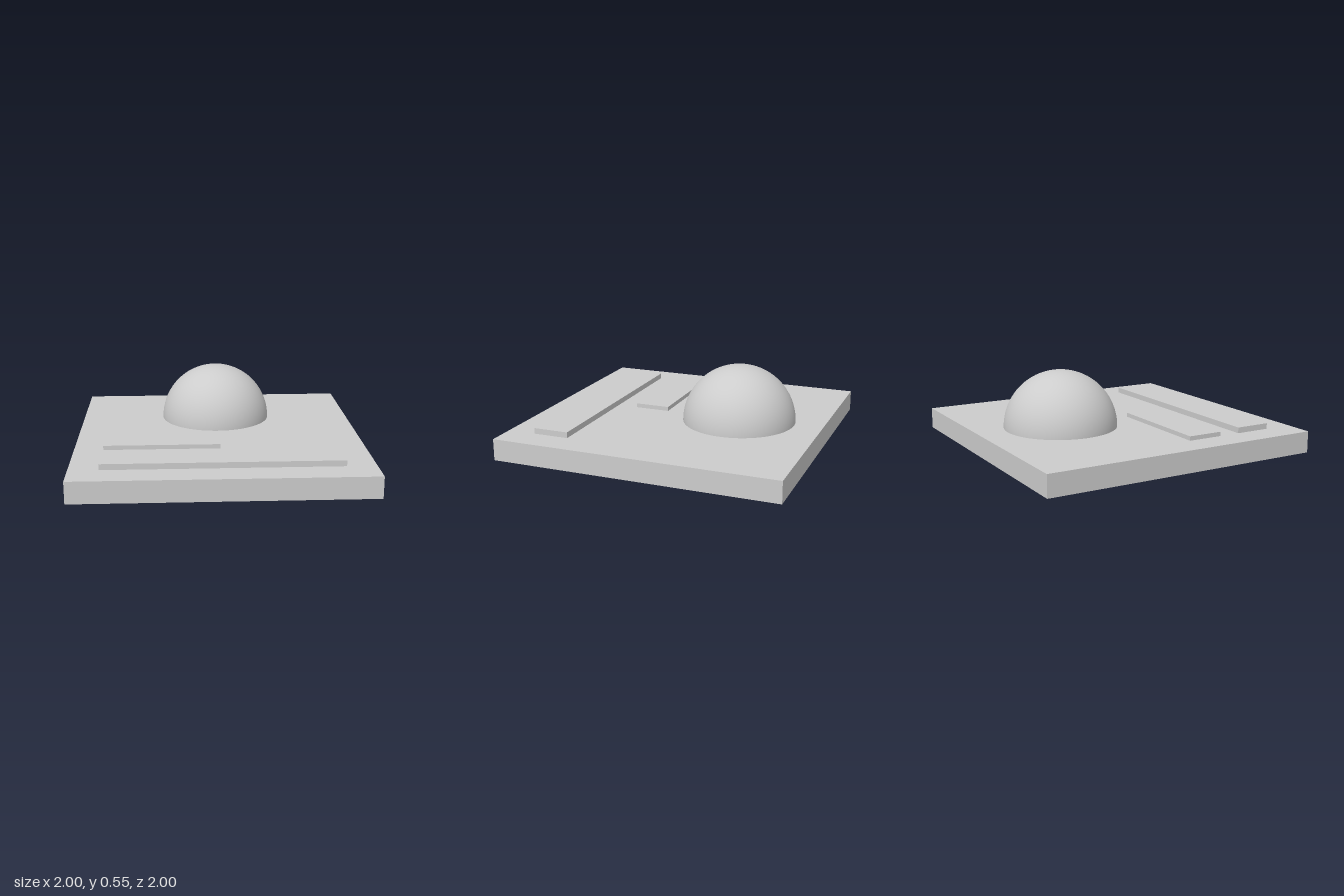
import * as THREE from 'three';

export function createModel() {
  const model = new THREE.Group();
  const grey = new THREE.MeshStandardMaterial({ color: 0xcccccc });
  grey.name = 'light grey';

  const slabTop = 0.15;

  function add(name, geometry, x, y, z) {
    const mesh = new THREE.Mesh(geometry, grey);
    mesh.name = name;
    mesh.position.set(x, y, z);
    model.add(mesh);
  }

  // A flat block resting at height y
  function addBlock(name, width, height, depth, x, y, z) {
    add(name, new THREE.BoxGeometry(width, height, depth), x, y + height / 2, z);
  }

  // Square base slab
  addBlock('baseSlab', 2, slabTop, 2, 0, 0, 0);

  // Hemispherical dome towards the back
  add('dome', new THREE.SphereGeometry(0.4, 64, 24, 0, Math.PI * 2, 0, Math.PI / 2), 0, slabTop, -0.4);

  // Raised bars towards the front
  addBlock('shortBar', 0.8, 0.03, 0.25, -0.4, slabTop, 0.275);
  addBlock('longBar', 1.6, 0.04, 0.25, 0, slabTop, 0.675);

  return model;
}
